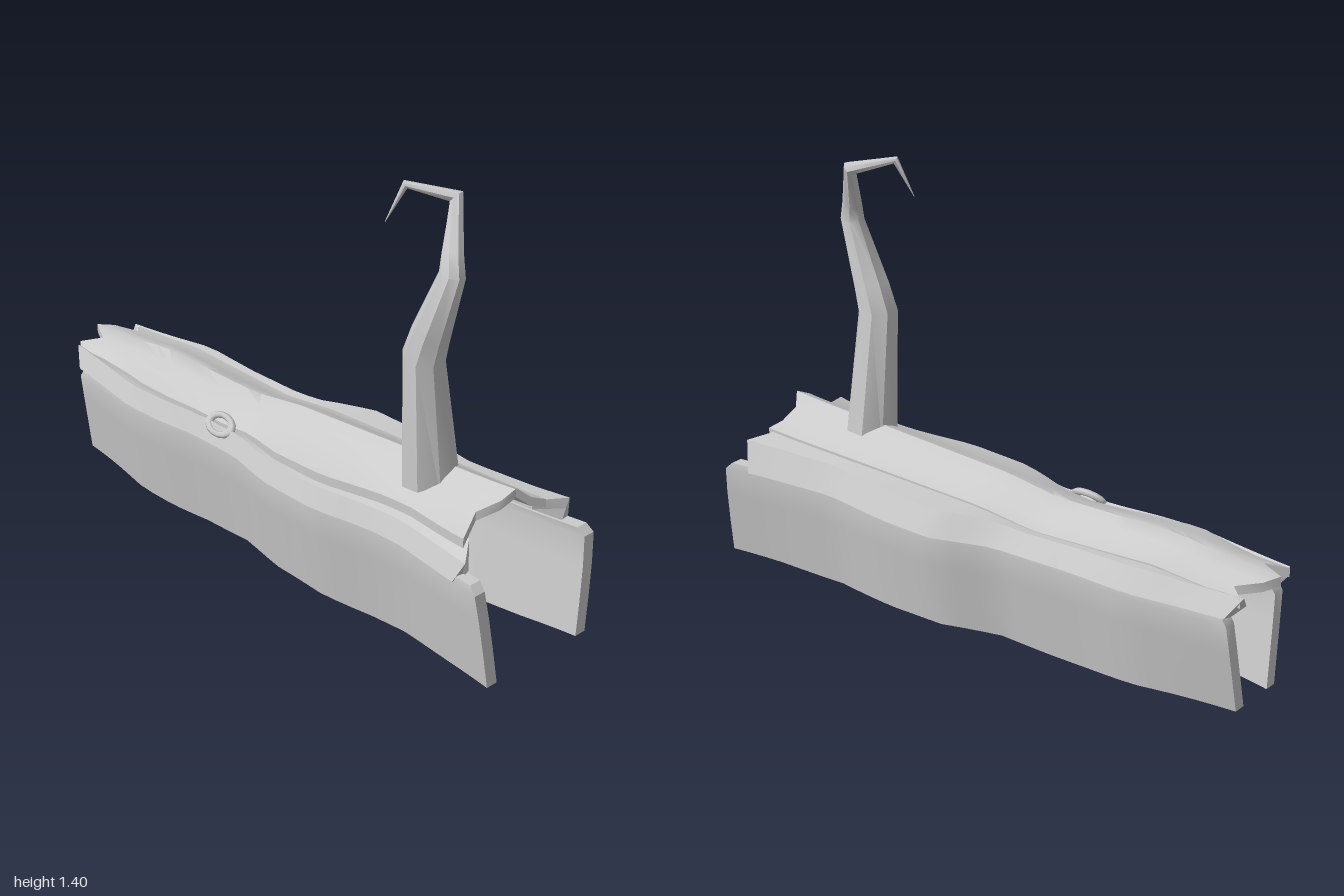
import * as THREE from 'three';
import { toCreasedNormals } from 'three/addons/utils/BufferGeometryUtils.js';

const grey = new THREE.MeshStandardMaterial({ color: 0xcccccc, side: THREE.DoubleSide });

// piecewise linear curve through [x, value] pairs
const curve = (pts) => (x) => {
  let i = 0;
  while (i < pts.length - 2 && x > pts[i + 1][0]) i++;
  const [a, b] = [pts[i], pts[i + 1]];
  const t = THREE.MathUtils.clamp((x - a[0]) / (b[0] - a[0]), 0, 1);
  return a[1] + (b[1] - a[1]) * t;
};

const ridge = curve([[-1, 0.425], [-0.8, 0.44], [-0.65, 0.46], [-0.2, 0.455], [0, 0.485], [0.4, 0.51], [0.8, 0.535], [0.9, 0.545]]);
const drop = curve([[-1, 0.4], [-0.5, 0.6], [0.4, 0.85], [0.9, 1]]);
const frontEdge = curve([[-0.95, 0.14], [-0.8, 0.165], [-0.6, 0.203], [-0.45, 0.2], [-0.3, 0.185], [-0.1, 0.19], [0.08, 0.235], [0.3, 0.243], [0.5, 0.21], [0.62, 0.205], [0.8, 0.235], [1, 0.265]]);
const backEdge = curve([[-0.95, 0.17], [-0.6, 0.215], [-0.4, 0.205], [-0.1, 0.21], [0.1, 0.275], [0.3, 0.265], [0.55, 0.225], [0.8, 0.245], [1, 0.272]]);

// closed surface through rings of points; ends capped across the ring
function loft(name, rings, crease) {
  const n = rings[0].length, tris = [];
  const tri = (a, b, c) => tris.push(a, b, c);
  for (let i = 0; i + 1 < rings.length; i++) {
    for (let j = 0; j < n; j++) {
      const k = (j + 1) % n, a = rings[i], b = rings[i + 1];
      tri(a[j], a[k], b[k]);
      tri(a[j], b[k], b[j]);
    }
  }
  const cap = (r, flip) => {
    for (let j = 0; j < n / 2 - 1; j++) {
      const [a, b, c, d] = [r[j], r[j + 1], r[n - 2 - j], r[n - 1 - j]];
      if (flip) { tri(a, c, b); tri(a, d, c); } else { tri(a, b, c); tri(a, c, d); }
    }
  };
  cap(rings[0], true);
  cap(rings[rings.length - 1], false);
  // turn faces outward when the enclosed volume comes out negative
  let volume = 0;
  for (let i = 0; i < tris.length; i += 3) volume += tris[i].dot(tris[i + 1].clone().cross(tris[i + 2]));
  if (volume < 0) tris.reverse();
  const geo = new THREE.BufferGeometry().setFromPoints(tris);
  const mesh = new THREE.Mesh(toCreasedNormals(geo, crease), grey);
  mesh.name = name;
  return mesh;
}

// slab of wood: columns run along x with ragged ends; point(x, j) gives [y, z]
function slab(name, starts, ends, point, offset) {
  const rows = 30, rings = [];
  for (let i = 0; i <= rows; i++) {
    const outer = [], inner = [];
    starts.forEach((s, j) => {
      const x = THREE.MathUtils.lerp(s, ends[j], i / rows);
      const [y, z] = point(x, j), [dy, dz] = offset(j);
      outer.push(new THREE.Vector3(x, y, z));
      inner.unshift(new THREE.Vector3(x, y + dy, z + dz));
    });
    rings.push([...outer, ...inner]);
  }
  return loft(name, rings, 0.6);
}

// curved bark along the top of the log
function topShell() {
  const zs = [-0.14, -0.095, -0.05, 0, 0.05, 0.1];
  const drops = [0.088, 0.07, 0.028, 0, 0.022, 0.055, 0.085];
  return slab('topShell',
    [-0.95, -0.9, -0.97, -1, -0.91, -0.97, -0.94],
    [0.89, 0.87, 0.85, 0.89, 0.88, 0.83, 0.88],
    (x, j) => [ridge(x) - drops[j] * drop(x), j < 6 ? zs[j] : Math.max(0.12, frontEdge(x) - 0.04)],
    () => [-0.03, 0]);
}

// split strip between the top shell and each plank
function sideStrip(side) {
  const edge = side > 0 ? frontEdge : backEdge;
  return slab(side > 0 ? 'frontStrip' : 'backStrip',
    [-0.93, -0.96, -0.92], [0.86, 0.91, 0.88],
    (x, j) => {
      const w = edge(x), top = ridge(x) - 0.085 * drop(x);
      if (side > 0) return [[top - 0.025, w - 0.085], [0.4, w - 0.022], [0.335, w + 0.002]][j];
      return [[top - 0.008, -0.115], [top * 0.6 + 0.16, -w + 0.035], [0.335, -w - 0.002]][j];
    },
    (j) => [[-0.03, 0], [-0.03, -side * 0.015], [-0.01, -side * 0.035]][j]);
}

// wavy upright plank leaning outward at the top
function plank(side) {
  const edge = side > 0 ? frontEdge : backEdge;
  const top = curve([[-0.95, 0.325], [-0.5, 0.34], [0.5, 0.35], [1, 0.355]]);
  return slab(side > 0 ? 'frontPlank' : 'backPlank',
    [-0.94, -0.935, -0.93, -0.925, -0.91], [0.997, 0.992, 0.985, 0.975, 0.95],
    (x, j) => {
      const v = [0, 0.33, 0.66, 0.93, 1][j];
      const base = 0.008 + 0.007 * Math.sin(x * 7 + 1);
      return [base + (top(x) - base) * v, side * (edge(x) - 0.05 * (1 - v) - (j === 4 ? 0.006 : 0))];
    },
    () => [0, -side * 0.042]);
}

// bent dead branch tapering into a hooked twig
function branch() {
  const path = [
    [0.585, 0.44, 0.025, 0.083, 0.1], [0.575, 0.88, 0.06, 0.067, 0.066], [0.6, 0.96, 0.06, 0.06, 0.06],
    [0.68, 1.17, 0.065, 0.042, 0.036], [0.665, 1.225, 0.05, 0.036, 0.03], [0.615, 1.365, -0.015, 0.025, 0.025],
    [0.5, 1.393, 0.072, 0.013, 0.013], [0.455, 1.275, 0.106, 0.001, 0.001],
  ];
  const pts = path.map((p) => new THREE.Vector3(p[0], p[1], p[2]));
  const up = new THREE.Vector3(0, 0, 1);
  const rings = path.map(([, , , ra, rb], i) => {
    const dir = new THREE.Vector3();
    if (i > 0) dir.add(pts[i].clone().sub(pts[i - 1]).normalize());
    if (i + 1 < pts.length) dir.add(pts[i + 1].clone().sub(pts[i]).normalize());
    if (i === 0) dir.set(0, 1, 0);
    dir.normalize();
    const a = dir.clone().cross(up).normalize(), b = a.clone().cross(dir).normalize();
    return Array.from({ length: 8 }, (_, k) => {
      const t = (k + 0.5) * Math.PI / 4;
      return pts[i].clone().addScaledVector(a, Math.cos(t) * ra).addScaledVector(b, Math.sin(t) * rb);
    });
  });
  return loft('branch', rings, 0.7);
}

// rim of the knot hole on the front of the log
function knot() {
  const mesh = new THREE.Mesh(new THREE.TorusGeometry(0.042, 0.014, 6, 14), grey);
  mesh.name = 'knotHole';
  mesh.scale.set(1.2, 0.75, 0.8);
  mesh.rotation.x = -0.65;
  mesh.position.set(-0.2, 0.398, 0.158);
  return mesh;
}

export function createModel() {
  const group = new THREE.Group();
  group.name = 'hollowLog';
  group.add(topShell(), branch(), knot());
  for (const side of [1, -1]) group.add(sideStrip(side), plank(side));
  return group;
}
